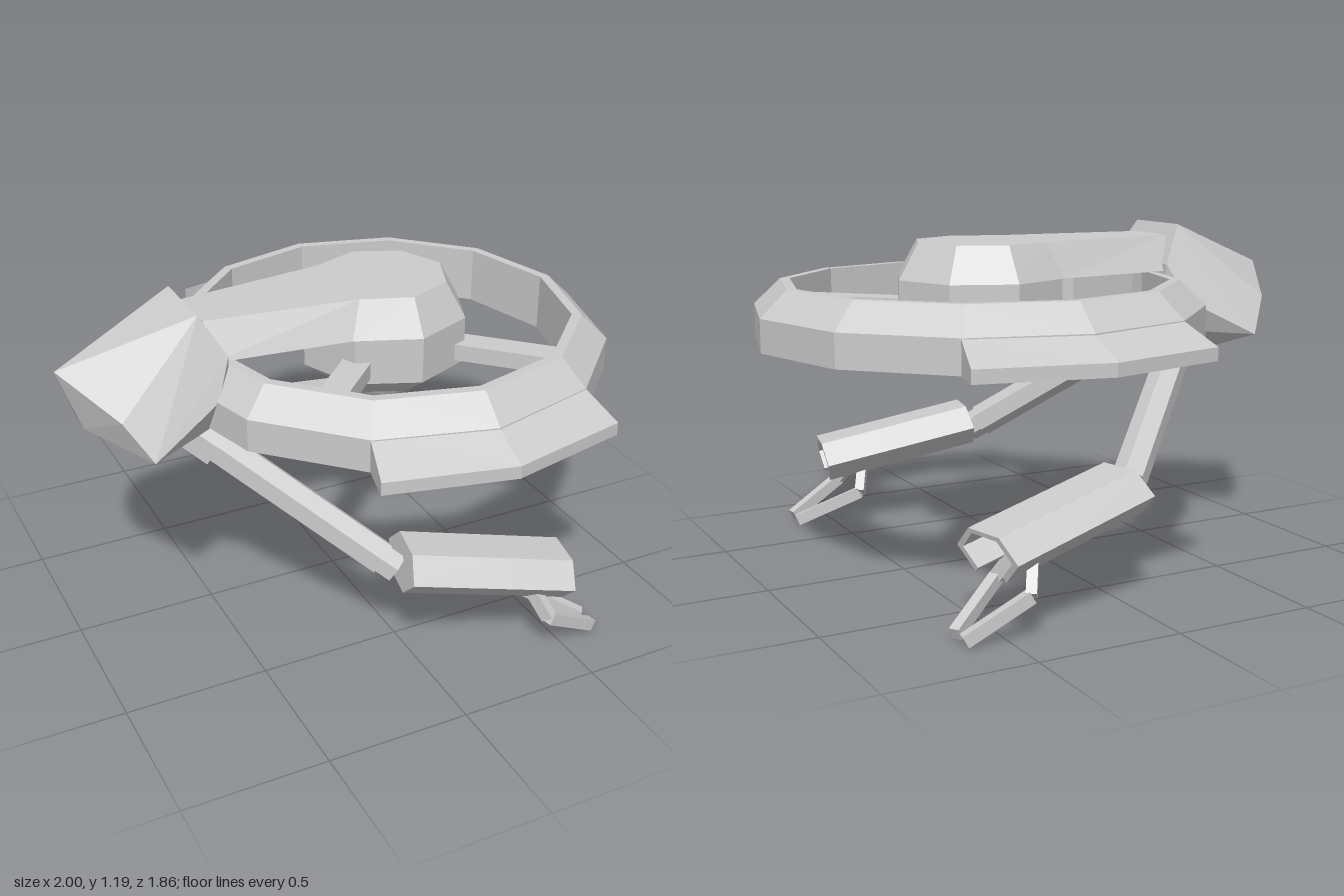
import * as THREE from 'three';
import { ConvexGeometry } from 'three/addons/geometries/ConvexGeometry.js';

const CX = 0.195; // ring and hub axis
const mat = new THREE.MeshStandardMaterial({ color: 0xcccccc, flatShading: true });
const smooth = new THREE.MeshStandardMaterial({ color: 0xcccccc });
const V = (x, y, z) => new THREE.Vector3(x, y, z);

function add(parent, name, geo, material = mat) {
  const m = new THREE.Mesh(geo, material);
  m.name = name;
  parent.add(m);
  return m;
}

// Skin closed loops of points into a capped solid
function loft(sections) {
  const pos = [];
  const tri = (...p) => p.forEach((v) => pos.push(v.x, v.y, v.z));
  const n = sections[0].length;
  for (let k = 0; k < sections.length - 1; k++) {
    for (let i = 0; i < n; i++) {
      const j = (i + 1) % n;
      const [a, b, c, d] = [sections[k][i], sections[k][j], sections[k + 1][j], sections[k + 1][i]];
      tri(a, b, c);
      tri(a, c, d);
    }
  }
  const cap = (s, flip) => {
    const mid = s.reduce((t, p) => t.add(p), V(0, 0, 0)).divideScalar(n);
    s.forEach((p, i) => {
      const q = s[(i + 1) % n];
      flip ? tri(mid, q, p) : tri(mid, p, q);
    });
  };
  cap(sections[0], true);
  cap(sections[sections.length - 1], false);
  const g = new THREE.BufferGeometry();
  g.setAttribute('position', new THREE.Float32BufferAttribute(pos, 3));
  g.computeVertexNormals();
  return g;
}

// Place a mesh whose local +z runs from a to b
function aim(mesh, a, b) {
  mesh.position.copy(a);
  mesh.lookAt(b);
  return mesh;
}

function rod(parent, name, a, b, r, sides = 6, r2 = r) {
  const len = a.distanceTo(b);
  const g = new THREE.CylinderGeometry(r2, r, len, sides).rotateX(Math.PI / 2).translate(0, 0, len / 2);
  return aim(add(parent, name, g), a, b);
}

function bar(parent, name, a, b, w, h) {
  const len = a.distanceTo(b);
  return aim(add(parent, name, new THREE.BoxGeometry(w, h, len).translate(0, 0, len / 2)), a, b);
}

function lathe(profile, sides) {
  return new THREE.LatheGeometry(profile.map(([r, y]) => new THREE.Vector2(r, y)), sides).translate(CX, 0, 0);
}

function buildArm(s) {
  const arm = new THREE.Group();
  arm.name = s > 0 ? 'frontArm' : 'backArm';
  const P = (x, y, z) => V(x, y, z * s);

  // Shoulder and upper arm
  const shoulder = P(-0.54, 0.755, 0.16);
  const elbow = P(-0.07, 0.37, 0.57);
  const along = (t) => shoulder.clone().lerp(elbow, t);
  rod(arm, 'shoulder', along(-0.08), along(0.06), 0.08);
  rod(arm, 'upperArm', along(0), along(0.97), 0.062);
  rod(arm, 'elbow', along(0.93), along(1.05), 0.055);

  // Flattened hexagonal forearm: closed at the rear, open underneath at the hand
  const start = P(-0.035, 0.378, 0.6);
  const end = P(0.53, 0.262, 0.722);
  const len = start.distanceTo(end);
  const hex = (k) => [[-0.075, -0.075], [-0.15, 0], [-0.075, 0.075], [0.075, 0.075], [0.15, 0], [0.075, -0.075]]
    .map(([x, y]) => new THREE.Vector2(x * k, y * k));
  const rear = new THREE.ExtrudeGeometry(new THREE.Shape(hex(1)), { depth: len * 0.6, bevelEnabled: false });
  aim(add(arm, 'forearm', rear), start, end);
  const channel = new THREE.Shape([...hex(1), ...hex(0.8).reverse()]);
  const sleeve = new THREE.ExtrudeGeometry(channel, { depth: len * 0.4, bevelEnabled: false }).translate(0, 0, len * 0.6);
  aim(add(arm, 'forearmSleeve', sleeve), start, end);

  // Two bent claw fingers
  const fingers = [
    [[0.37, 0.29, 0.73], [0.43, 0.145, 0.825], [0.64, 0.025, 0.785]],
    [[0.37, 0.29, 0.69], [0.43, 0.14, 0.59], [0.64, 0.025, 0.72]],
  ];
  for (const f of fingers) {
    const [a, b, c] = f.map((p) => P(...p));
    bar(arm, 'fingerBase', a, b, 0.035, 0.045);
    bar(arm, 'fingerTip', b, c, 0.035, 0.042);
  }
  return arm;
}

export function createModel() {
  const model = new THREE.Group();
  model.name = 'hoverDrone';

  // Twelve-sided ring with a chamfered outer edge
  add(model, 'ring', lathe([[0.67, 0.82], [0.8, 0.82], [0.8, 0.935], [0.705, 1.025], [0.67, 1.025], [0.67, 0.82]], 12));

  // Sloping guards on both sides of the ring
  const guardSection = (x, xo, zi, zo) =>
    [V(x, 0.82, zi), V(x, 0.935, zi), V(xo, 0.865, zo), V(xo, 0.82, zo)].reverse();
  const guard = loft([
    guardSection(-0.4, -0.437, 0.685, 0.83),
    guardSection(0, 0, 0.79, 0.93),
    guardSection(0.4, 0.437, 0.685, 0.83),
  ].map((s) => s.reverse()).reverse().map((s) => s.reverse()).reverse().map((s) => orient(s)));
  for (const turn of [0, Math.PI]) {
    const g = add(model, turn ? 'backGuard' : 'frontGuard', guard);
    g.position.x = CX;
    g.rotation.y = turn;
  }

  // Diagonal spokes
  for (let i = 0; i < 4; i++) {
    const a = Math.PI / 4 + (i * Math.PI) / 2;
    const at = (r) => V(CX + r * Math.cos(a), 0.92, r * Math.sin(a));
    bar(model, 'spoke', at(0.22), at(0.665), 0.1, 0.06);
  }

  // Eight-sided hub with a round sensor below
  add(model, 'hub', lathe([[0, 0.785], [0.19, 0.785], [0.305, 0.87], [0.305, 1.035], [0, 1.035]], 8));
  add(model, 'sensor', new THREE.SphereGeometry(0.125, 24, 16).translate(CX, 0.802, 0), smooth);

  // Bevelled hub cover running into the neck
  const cover = (y, r, xn, wn, we) => {
    const half = [[-0.52, we], [xn, wn], [CX, r], [CX + r * 0.707, r * 0.707]];
    return [
      ...half.map(([x, z]) => V(x, y, z)),
      V(CX + r, y, 0),
      ...half.reverse().map(([x, z]) => V(x, y, -z)),
    ];
  };
  add(model, 'neck', loft([cover(1.035, 0.305, -0.03, 0.217, 0.165), cover(1.16, 0.232, 0.02, 0.167, 0.1)]));

  // Faceted pod at the end of the neck
  const half = [
    [-1, 1.035, 0], [-0.93, 0.83, 0.04], [-0.86, 0.93, 0.247], [-0.78, 0.8, 0.315],
    [-0.55, 1.2, 0.135], [-0.47, 1.06, 0.19], [-0.53, 0.93, 0.245], [-0.46, 0.82, 0.15],
    [-0.76, 0.735, 0.11], [-0.6, 0.72, 0.1],
  ];
  add(model, 'pod', new ConvexGeometry(half.flatMap(([x, y, z]) => [V(x, y, z), V(x, y, -z)])));

  for (const s of [1, -1]) model.add(buildArm(s));
  return model;
}

// Order a guard section counter-clockwise about +x
function orient(s) {
  const c = s.reduce((t, p) => t.add(p), V(0, 0, 0)).divideScalar(s.length);
  const ang = (p) => Math.atan2(p.z - c.z, p.y - c.y);
  return [...s].sort((p, q) => ang(p) - ang(q));
}
